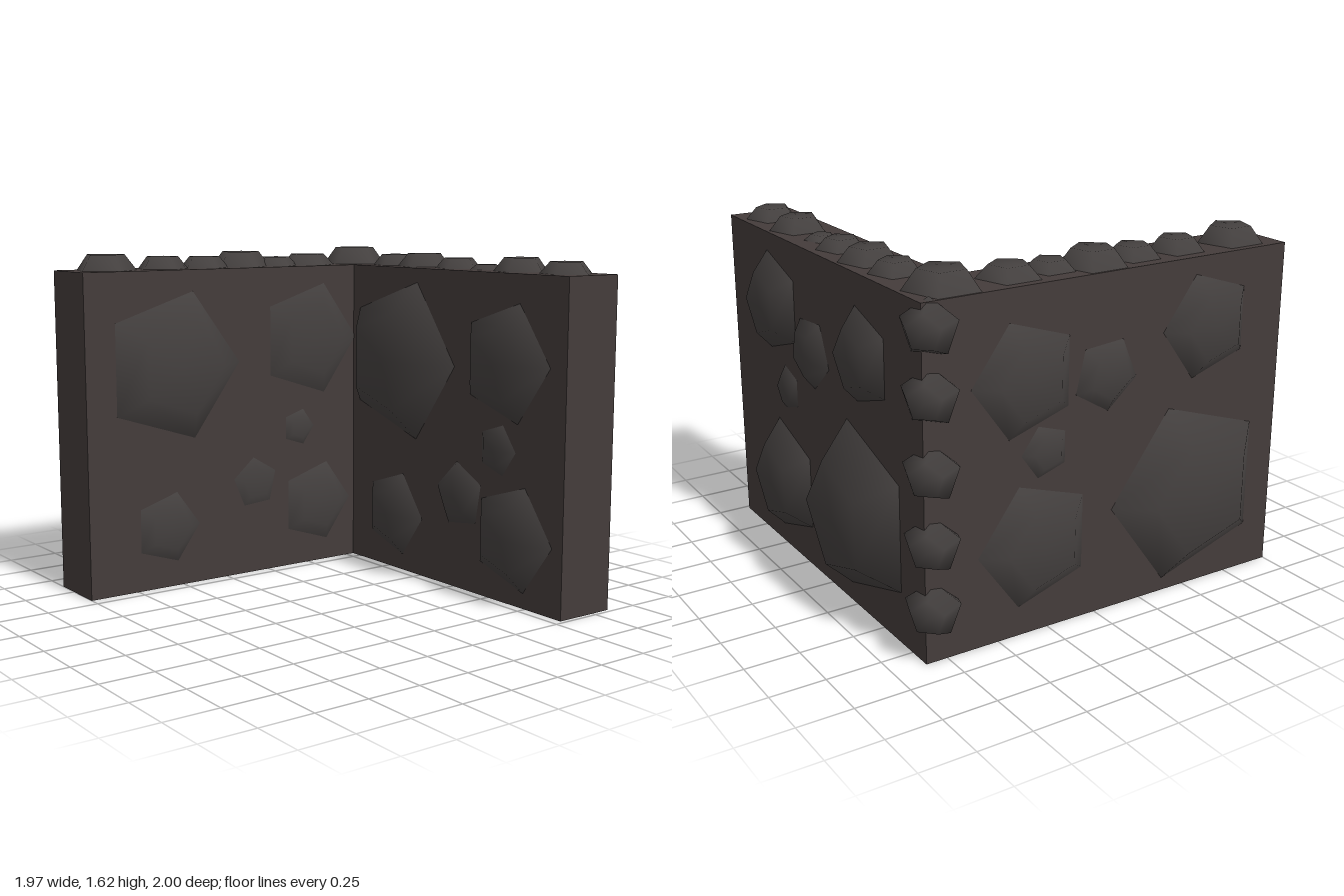
import * as THREE from 'three';

const wallMaterial = new THREE.MeshStandardMaterial({ color: 0x443c3b });
wallMaterial.name = 'wallBrown';
const stoneMaterial = new THREE.MeshStandardMaterial({ color: 0x44403f });
stoneMaterial.name = 'stoneGrey';

const H = 1.54; // wall height
const v = (x, y, z) => new THREE.Vector3(x, y, z);

// Five-sided, flat-topped stone with smooth normals; axis +y, first corner on +x
function stoneGeometry(radius, height, closedBack) {
  const profile = [[radius, 0], [radius * 0.62, height], [0, height]];
  if (closedBack) profile.unshift([0, -height], [radius * 0.62, -height]);
  const points = profile.map(([r, y]) => new THREE.Vector2(r, y));
  return new THREE.LatheGeometry(points, 5, Math.PI / 2);
}

// A set of stones on one face: normal = outward, along = direction of the first corner
function stoneSet(name, normal, along, place, list, closedBack = false) {
  const group = new THREE.Group();
  group.name = name;
  const n = normal.clone().normalize();
  const basis = new THREE.Matrix4().makeBasis(along, n, along.clone().cross(n));
  for (const [a, b, radius, height, spin = 0] of list) {
    const mesh = new THREE.Mesh(stoneGeometry(radius, height, closedBack), stoneMaterial);
    mesh.name = 'stone';
    mesh.quaternion.setFromRotationMatrix(basis);
    mesh.rotateY(spin);
    mesh.position.copy(place(a, b));
    group.add(mesh);
  }
  return group;
}

function wall(name, x0, x1, z0, z1) {
  const mesh = new THREE.Mesh(new THREE.BoxGeometry(x1 - x0, H, z1 - z0), wallMaterial);
  mesh.name = name;
  mesh.position.set((x0 + x1) / 2, H / 2, (z0 + z1) / 2);
  return mesh;
}

export function createModel() {
  const model = new THREE.Group();
  model.name = 'cornerWall';

  // Two legs of the L-shaped wall
  model.add(wall('backWall', -0.865, 0.98, -0.85, -0.545));
  model.add(wall('sideWall', -0.865, -0.56, -0.545, 1));

  const X = v(1, 0, 0), back = v(0, 0, -1);

  // Inner face of the back wall: x, y, radius, height, spin
  model.add(stoneSet('backWallInnerStones', v(0, 0, 1), X, (x, y) => v(x, y, -0.545), [
    [-0.17, 1.08, 0.41, 0.125],
    [0.59, 1.13, 0.29, 0.085],
    [0.545, 0.72, 0.125, 0.03],
    [0.29, 0.46, 0.165, 0.045, 0.45],
    [-0.21, 0.29, 0.22, 0.06],
    [0.655, 0.32, 0.26, 0.075],
  ]));

  // Outer face of the back wall: x, y
  model.add(stoneSet('backWallOuterStones', back, X, (x, y) => v(x, y, -0.85), [
    [-0.33, 0.48, 0.41, 0.15],
    [0.43, 0.37, 0.29, 0.1],
    [0.49, 1.22, 0.245, 0.085],
    [0.12, 1.08, 0.17, 0.05, 0.4],
    [0.39, 0.83, 0.11, 0.03],
    [-0.38, 1.19, 0.22, 0.075],
  ]));

  // Inner face of the side wall: z, y
  model.add(stoneSet('sideWallInnerStones', X, back, (z, y) => v(-0.56, y, z), [
    [0.54, 1.08, 0.375, 0.1],
    [-0.26, 1.17, 0.295, 0.055],
    [-0.19, 0.72, 0.095, 0.02],
    [0.075, 0.46, 0.13, 0.02, 0.4],
    [0.585, 0.295, 0.18, 0.04],
    [-0.3, 0.317, 0.215, 0.045],
  ]));

  // Outer face of the side wall: z, y
  model.add(stoneSet('sideWallOuterStones', v(-1, 0, 0), back, (z, y) => v(-0.865, y, z), [
    [0.51, 0.47, 0.43, 0.12],
    [0.575, 1.23, 0.245, 0.07],
    [0.03, 1.1, 0.165, 0.045, 0.4],
    [-0.27, 0.82, 0.12, 0.03],
    [-0.37, 1.15, 0.26, 0.07],
    [-0.31, 0.41, 0.29, 0.075],
  ]));

  // Coping stones on top of both legs: x, z
  model.add(stoneSet('copingStones', v(0, 1, 0), X, (x, z) => v(x, H, z), [
    [-0.72, -0.67, 0.168, 0.085],
    [-0.41, -0.705, 0.12, 0.055],
    [-0.18, -0.705, 0.14, 0.065],
    [0.08, -0.705, 0.117, 0.05],
    [0.28, -0.705, 0.08, 0.025],
    [0.52, -0.705, 0.135, 0.065],
    [0.81, -0.705, 0.126, 0.055],
    [-0.71, -0.355, 0.143, 0.055],
    [-0.7, -0.15, 0.115, 0.045],
    [-0.73, 0.045, 0.155, 0.075],
    [-0.71, 0.27, 0.125, 0.055],
    [-0.71, 0.505, 0.128, 0.06],
    [-0.71, 0.81, 0.15, 0.075],
  ]));

  // Quoin stones down the outer corner
  model.add(stoneSet('cornerStones', v(-1, 0, -1), v(0, 1, 0), (a, y) => v(a, y, a + 0.04),
    [1.43, 1.15, 0.83, 0.52, 0.23].map((y) => [-0.84, y, 0.125, 0.09]), true));

  return model;
}
